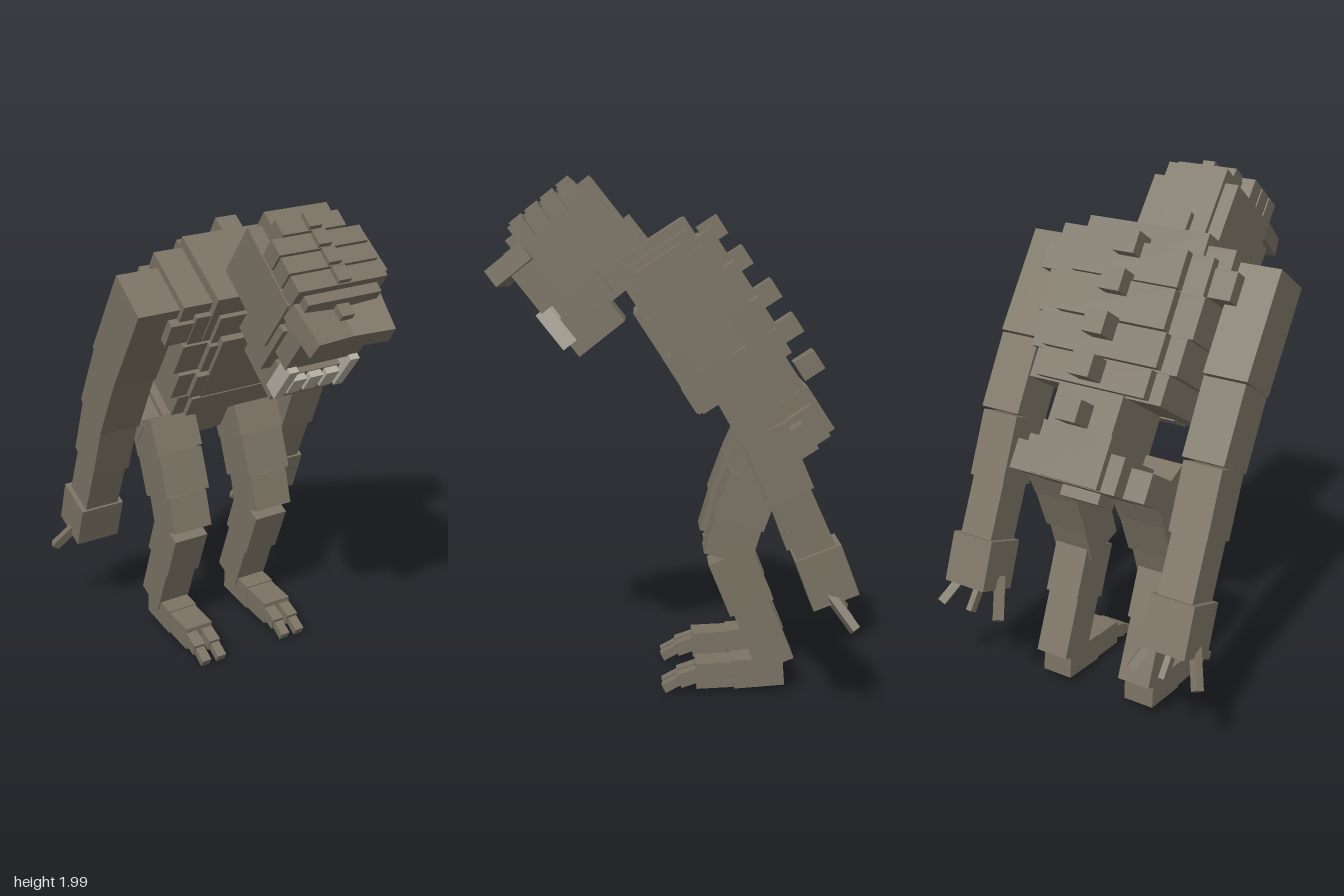
import * as THREE from 'three';

const hide = new THREE.MeshStandardMaterial({ color: 0x7a7263 });
hide.name = 'hide';
const bone = new THREE.MeshStandardMaterial({ color: 0xb3ad9f });
bone.name = 'bone';

// Box given by its ranges in x, y and z
function block(parent, name, [x0, x1], [y0, y1], [z0, z1], mat = hide) {
  const mesh = new THREE.Mesh(new THREE.BoxGeometry(x1 - x0, y1 - y0, z1 - z0), mat);
  mesh.position.set((x0 + x1) / 2, (y0 + y1) / 2, (z0 + z1) / 2);
  mesh.name = name;
  parent.add(mesh);
  return mesh;
}

// Box centred on x = 0 with a half width
const slab = (parent, name, half, y, z) => block(parent, name, [-half, half], y, z);

// Box running from point a to point b
function bar(parent, name, a, b, width, depth) {
  const p = new THREE.Vector3(...a), q = new THREE.Vector3(...b);
  const mesh = new THREE.Mesh(new THREE.BoxGeometry(width, p.distanceTo(q), depth), hide);
  mesh.position.copy(p).add(q).multiplyScalar(0.5);
  mesh.quaternion.setFromUnitVectors(new THREE.Vector3(0, 1, 0), q.sub(p).normalize());
  mesh.name = name;
  parent.add(mesh);
}

// Chain of bars: each joint is [y, z, width, depth] of the segment that starts there
function chain(parent, name, x, joints) {
  for (let i = 0; i < joints.length - 1; i++) {
    const [y, z, w, d] = joints[i], [y2, z2] = joints[i + 1];
    bar(parent, `${name}${i + 1}`, [x, y, z], [x, y2, z2], w, d);
  }
}

// Group tilted forward around x
function tilted(parent, name, y, z, degrees) {
  const g = new THREE.Group();
  g.name = name;
  g.position.set(0, y, z);
  g.rotation.x = THREE.MathUtils.degToRad(degrees);
  parent.add(g);
  return g;
}

function buildTorso(root) {
  const t = tilted(root, 'torso', 1.755, 0.077, 33);
  slab(t, 'upperChest', 0.26, [-0.23, 0], [-0.158, 0.155]);
  slab(t, 'shoulderYoke', 0.376, [-0.22, -0.04], [-0.14, 0.13]);
  slab(t, 'armpitBlock', 0.412, [-0.23, -0.12], [-0.15, 0.145]);
  // Ribs: a wide layer with a narrower, deeper layer through it
  const ribs = [
    // top, bottom, half width, back, front, half width of the deep layer
    [-0.09, -0.24, 0.32, -0.18, 0.15, 0.23],
    [-0.24, -0.4, 0.337, -0.19, 0.16, 0.235],
    [-0.4, -0.54, 0.318, -0.19, 0.175, 0.25],
    [-0.54, -0.655, 0.287, -0.185, 0.18, 0.235],
  ];
  ribs.forEach(([top, bottom, half, back, front, inner], i) => {
    slab(t, `rib${i + 1}`, half, [bottom, top], [back, front]);
    slab(t, `innerRib${i + 1}`, inner, [bottom + 0.008, top], [back - 0.04, front + 0.022]);
  });
  slab(t, 'breastbone', 0.2, [-0.66, -0.2], [0.1, 0.198]);
  slab(t, 'belly', 0.14, [-0.83, -0.65], [-0.2, 0.1]);
  // Pelvis in three nested layers
  slab(t, 'pelvis', 0.3, [-1.0, -0.885], [-0.115, 0.065]);
  slab(t, 'pelvisMiddle', 0.21, [-1.003, -0.86], [-0.18, 0.075]);
  slab(t, 'pelvisBack', 0.15, [-1.0, -0.8], [-0.21, 0.06]);
  slab(t, 'crotch', 0.085, [-1.045, -0.98], [-0.06, 0.055]);
  // Spine knobs
  const knobs = [[-0.106, -0.23], [-0.257, -0.25], [-0.427, -0.275], [-0.587, -0.275], [-0.755, -0.267]];
  knobs.forEach(([y, z], i) =>
    slab(t, `spineKnob${i + 1}`, 0.045, [y - 0.043, y + 0.043], [z - 0.043, z + 0.05]));
}

function buildHead(root) {
  const h = tilted(root, 'head', 1.74, 0.098, 38.3);
  slab(h, 'neck', 0.1, [-0.12, 0], [-0.03, 0.1]);
  slab(h, 'skull', 0.13, [0, 0.325], [0, 0.36]);
  slab(h, 'skullSides', 0.187, [0.03, 0.275], [0.02, 0.355]);
  slab(h, 'nape', 0.06, [-0.05, 0.12], [-0.028, 0.02]);
  // Crown with ridged plates and a centre crest
  slab(h, 'crown', 0.13, [0.25, 0.342], [0.06, 0.35]);
  for (let i = 0; i < 4; i++) {
    const z = 0.062 + i * 0.077;
    slab(h, `crownPlate${i + 1}`, i ? 0.182 : 0.13, [0.26, 0.36], [z, z + 0.068]);
    slab(h, `crestKnob${i + 1}`, 0.026, [0.33, 0.38], [z + 0.004, z + 0.064]);
  }
  slab(h, 'forehead', 0.15, [0.2, 0.33], [0.34, 0.4]);
  slab(h, 'face', 0.155, [0.03, 0.25], [0.33, 0.465]);
  slab(h, 'noseRidge', 0.026, [0.2, 0.3], [0.38, 0.45]);
  for (const s of [-1, 1]) {
    // Brow halves meet in a shallow V
    const brow = block(h, 'brow', [-0.087, 0.087], [-0.038, 0.038], [-0.09, 0.085]);
    brow.position.set(s * 0.085, 0.242, 0.438);
    brow.rotation.set(0, -s * 0.11, s * 0.12);
    block(h, 'cheek', s > 0 ? [0.12, 0.175] : [-0.175, -0.12], [-0.08, 0.16], [0.2, 0.385]);
    block(h, 'sideTusk', [s * 0.13 - 0.019, s * 0.13 + 0.019], [-0.13, 0.04], [0.425, 0.488], bone);
  }
  slab(h, 'jaw', 0.13, [-0.188, -0.03], [0.235, 0.458]);
  slab(h, 'jawBase', 0.1, [-0.1, 0.04], [0.1, 0.42]);
  for (let i = -1; i <= 1; i++) {
    block(h, 'frontTooth', [i * 0.07 - 0.027, i * 0.07 + 0.027], [-0.12, -0.035], [0.44, 0.484], bone);
  }
}

function buildArm(root, s) {
  const g = new THREE.Group();
  g.name = s > 0 ? 'leftArm' : 'rightArm';
  const x = s * 0.453;
  chain(g, 'armSegment', x, [
    [1.69, 0.05, 0.18, 0.2],
    [1.34, -0.187, 0.172, 0.19],
    [1.08, -0.335, 0.16, 0.175],
    [0.84, -0.437, 0.146, 0.15],
    [0.6, -0.545],
  ]);
  bar(g, 'hand', [x, 0.635, -0.535], [x, 0.45, -0.605], 0.187, 0.178);
  // Three claws
  bar(g, 'outerClaw', [s * 0.52, 0.49, -0.57], [s * 0.59, 0.36, -0.668], 0.032, 0.034);
  bar(g, 'innerClaw', [s * 0.37, 0.49, -0.57], [s * 0.308, 0.36, -0.668], 0.032, 0.034);
  bar(g, 'middleClaw', [s * 0.445, 0.47, -0.585], [s * 0.445, 0.36, -0.668], 0.025, 0.034);
  root.add(g);
}

function buildLeg(root, s) {
  const g = new THREE.Group();
  g.name = s > 0 ? 'leftLeg' : 'rightLeg';
  const x = s * 0.195;
  chain(g, 'thighSegment', x, [
    [0.99, -0.385, 0.205, 0.2],
    [0.855, -0.325, 0.195, 0.2],
    [0.69, -0.265, 0.17, 0.185],
    [0.545, -0.222],
  ]);
  chain(g, 'shinSegment', x, [
    [0.555, -0.235, 0.15, 0.18],
    [0.35, -0.32, 0.14, 0.15],
    [0.12, -0.415],
  ]);
  chain(g, 'footSegment', x, [
    [0.095, -0.445, 0.13, 0.112],
    [0.08, -0.25, 0.124, 0.1],
    [0.073, -0.105],
  ]);
  // Two jointed toes
  for (const d of [-0.036, 0.036]) {
    chain(g, 'toe', x + d, [
      [0.08, -0.12, 0.05, 0.055],
      [0.052, -0.04, 0.04, 0.035],
      [0.02, 0.02],
    ]);
  }
  root.add(g);
}

export function createModel() {
  const root = new THREE.Group();
  root.name = 'hunchedCreature';
  buildTorso(root);
  buildHead(root);
  for (const s of [-1, 1]) {
    buildArm(root, s);
    buildLeg(root, s);
  }
  return root;
}
